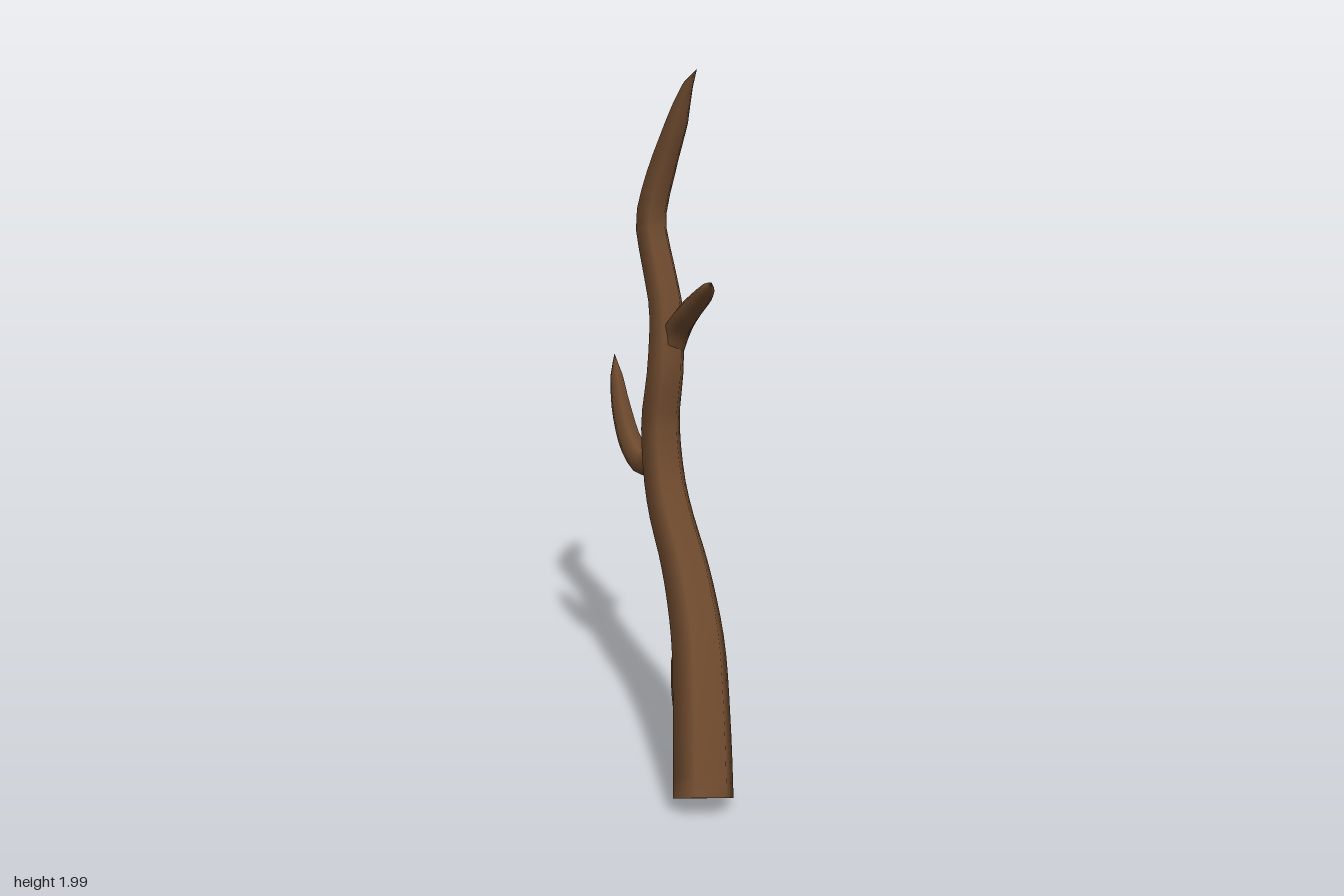
import * as THREE from 'three';

const SIDES = 6;

// Tapered tube through [x, y, z, radius] stations, open at the root, pointed at the tip.
function taperedLimb(stations, steps) {
  const curve = new THREE.CatmullRomCurve3(stations.map(([x, y, z]) => new THREE.Vector3(x, y, z)));
  const positions = [];
  const index = [];
  const axis = new THREE.Vector3(1, 0, 0.2);
  for (let i = 0; i <= steps; i++) {
    const t = curve.getUtoTmapping(i / steps);
    const centre = curve.getPoint(t);
    const tangent = curve.getTangent(t);
    // Carry the ring's first axis along the curve so the rings do not twist
    axis.addScaledVector(tangent, -axis.dot(tangent)).normalize();
    const side = new THREE.Vector3().crossVectors(tangent, axis);
    const s = Math.min(t * (stations.length - 1), stations.length - 1 - 1e-6);
    const k = Math.floor(s);
    const radius = THREE.MathUtils.lerp(stations[k][3], stations[k + 1][3], s - k);
    for (let j = 0; j < SIDES; j++) {
      const a = (j / SIDES) * Math.PI * 2;
      const p = centre.clone()
        .addScaledVector(axis, Math.cos(a) * radius)
        .addScaledVector(side, Math.sin(a) * radius);
      positions.push(p.x, p.y, p.z);
    }
  }
  for (let i = 0; i < steps; i++) {
    for (let j = 0; j < SIDES; j++) {
      const a = i * SIDES + j;
      const b = i * SIDES + (j + 1) % SIDES;
      index.push(a, b, b + SIDES, a, b + SIDES, a + SIDES);
    }
  }
  const geometry = new THREE.BufferGeometry();
  geometry.setAttribute('position', new THREE.Float32BufferAttribute(positions, 3));
  geometry.setIndex(index);
  geometry.computeVertexNormals();
  return geometry;
}

export function createModel() {
  const group = new THREE.Group();
  group.name = 'branch';
  const bark = new THREE.MeshStandardMaterial({ color: 0x6e4a2e, side: THREE.DoubleSide });
  bark.name = 'brown bark';

  const limbs = {
    // Main winding stem
    mainStem: [
      [0.312, 0.053, 0.255, 0.087], [0.26, 0.2, 0.19, 0.085], [0.168, 0.4, 0.082, 0.08],
      [0.09, 0.51, 0.01, 0.076], [0.01, 0.6, -0.055, 0.073], [-0.07, 0.7, -0.105, 0.07],
      [-0.128, 0.8, -0.145, 0.066], [-0.168, 0.97, -0.178, 0.062],
      [-0.156, 1.12, -0.186, 0.059], [-0.18, 1.3, -0.222, 0.055], [-0.232, 1.43, -0.25, 0.053],
      [-0.275, 1.56, -0.271, 0.05], [-0.247, 1.7, -0.284, 0.046], [-0.19, 1.85, -0.287, 0.036],
      [-0.148, 1.95, -0.28, 0.019], [-0.11, 2, -0.275, 0.001],
    ],
    // Short spur under the foot of the stem
    lowerTwig: [
      [0.21, 0.19, 0.15, 0.043], [0.13, 0.195, 0.085, 0.039], [0.08, 0.235, 0.04, 0.034],
      [0.035, 0.3, 0, 0.022], [0.005, 0.36, -0.03, 0.001],
    ],
    // Upturned hook on the right
    middleTwig: [
      [-0.15, 0.85, -0.15, 0.044], [-0.23, 0.827, -0.174, 0.042], [-0.295, 0.87, -0.193, 0.039],
      [-0.345, 0.97, -0.208, 0.033], [-0.373, 1.07, -0.219, 0.022], [-0.385, 1.14, -0.224, 0.001],
    ],
    // Straighter fork reaching left
    upperTwig: [
      [-0.155, 1.18, -0.205, 0.044], [-0.12, 1.25, -0.2, 0.042], [-0.065, 1.305, -0.175, 0.038],
      [0.005, 1.36, -0.145, 0.031], [0.05, 1.395, -0.116, 0.02], [0.08, 1.418, -0.09, 0.001],
    ],
  };

  for (const [name, stations] of Object.entries(limbs)) {
    const mesh = new THREE.Mesh(taperedLimb(stations, name === 'mainStem' ? 40 : 14), bark);
    mesh.name = name;
    group.add(mesh);
  }
  return group;
}
